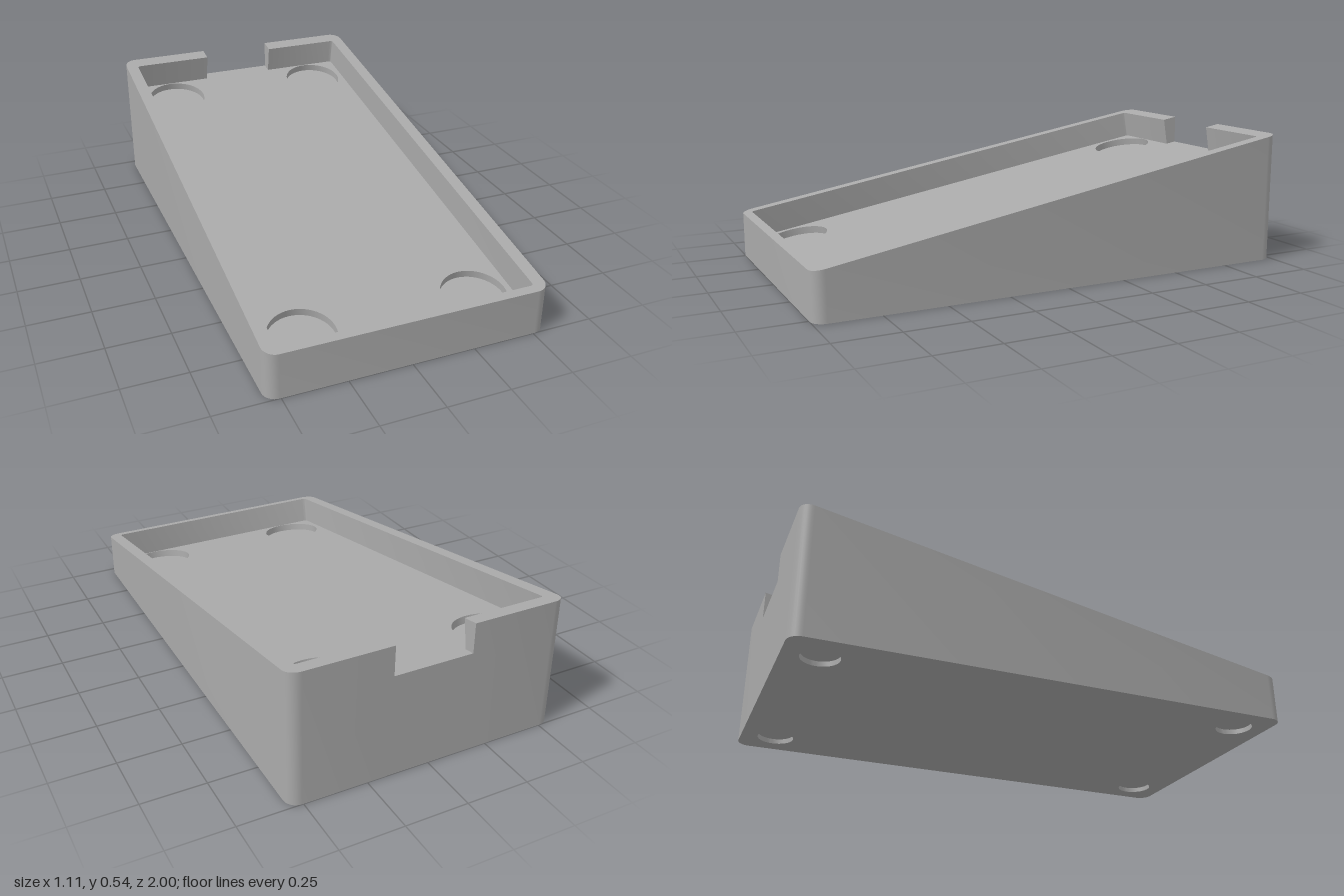
import * as THREE from 'three';
import { toCreasedNormals } from 'three/addons/utils/BufferGeometryUtils.js';

// Plan points are Vector2(x, z); heights come from two parallel sloping planes.
const SLOPE = 0.175, NOTCH = 0.16, BACK = -1;
const topY = (z) => 0.36 - SLOPE * z;
const floorY = (z) => 0.24 - SLOPE * z;
const v2 = (x, z) => new THREE.Vector2(x, z);

const atTop = (p) => [p.x, topY(p.y), p.y];
const atFloor = (p) => [p.x, floorY(p.y), p.y];
const atHeight = (y) => (p) => [p.x, y, p.y];
// Pocket walls stand square to the slope, so they lean backwards at the foot.
const lean = (p) => (p.y > BACK + 0.01 ? v2(p.x, p.y - 0.02) : p);
const atPocketFoot = (p) => atFloor(lean(p));
const atPitFoot = (p) => [p.x, floorY(p.y) - 0.03, p.y - 0.005];

// Rounded rectangle, open at the back between the two notch edges.
function openLoop(halfX, zBack, zFront, r) {
  const pts = [v2(NOTCH, zBack)];
  const corners = [[1, zBack + r], [1, zFront - r], [-1, zFront - r], [-1, zBack + r]];
  corners.forEach(([side, cz], i) => {
    for (let k = 0; k <= 8; k++) {
      const a = (i - 1 + k / 8) * Math.PI / 2;
      pts.push(v2(side * (halfX - r) + r * Math.cos(a), cz + r * Math.sin(a)));
    }
  });
  pts.push(v2(-NOTCH, zBack));
  return pts;
}

// Closed ellipse, running so that a wall along it faces inwards.
function ring(cx, cz, rx, rz) {
  const pts = [];
  for (let k = 0; k <= 48; k++) {
    const a = -k / 48 * Math.PI * 2;
    pts.push(v2(cx + rx * Math.cos(a), cz + rz * Math.sin(a)));
  }
  return pts;
}

// Strip of quads between a lower and an upper line over one plan path.
function wall(path, lo, hi) {
  const pos = [];
  for (let i = 0; i < path.length - 1; i++) {
    const a = lo(path[i]), b = lo(path[i + 1]), c = hi(path[i + 1]), d = hi(path[i]);
    pos.push(...a, ...d, ...c, ...a, ...c, ...b);
  }
  const g = new THREE.BufferGeometry();
  g.setAttribute('position', new THREE.Float32BufferAttribute(pos, 3));
  return toCreasedNormals(g, 0.6);
}

// Flat face laid on a plane, facing up or down.
function face(outline, place, up, holes = []) {
  const shape = new THREE.Shape(outline);
  for (const h of holes) shape.holes.push(new THREE.Path(h));
  const g = new THREE.ShapeGeometry(shape);
  const pos = g.attributes.position;
  for (let i = 0; i < pos.count; i++) pos.setXYZ(i, ...place(v2(pos.getX(i), pos.getY(i))));
  if (up) g.index.array.reverse();
  g.computeVertexNormals();
  return g;
}

export function createModel() {
  const model = new THREE.Group();
  model.name = 'slopedTray';
  const grey = new THREE.MeshStandardMaterial({ color: 0xaaaaaa });
  grey.name = 'plainGrey';
  const add = (name, geometry) => {
    const mesh = new THREE.Mesh(geometry, grey);
    mesh.name = name;
    model.add(mesh);
  };

  const outer = openLoop(0.555, BACK, 1, 0.05);
  const inner = openLoop(0.503, -0.935, 0.965, 0.012);
  const innerBack = [...inner].reverse();
  const backEdge = [outer[outer.length - 1], outer[0]];

  // Round pits in the tray floor and under the base
  const pits = [], feet = [];
  for (const side of [1, -1]) {
    pits.push(ring(side * 0.35, 0.813, 0.13, 0.128), ring(side * 0.35, -0.823, 0.13, 0.128));
    feet.push(ring(side * 0.415, 0.86, 0.073, 0.073), ring(side * 0.415, -0.86, 0.073, 0.073));
  }

  // Outside of the wedge, lower under the cable notch
  add('outerWall', wall(outer, atHeight(0), atTop));
  add('notchBackWall', wall(backEdge, atHeight(0), atFloor));
  add('underside', face(outer, atHeight(0), false, feet));

  // Rim, pocket walls with notch cheeks, and tray floor
  add('rim', face([...outer, ...innerBack], atTop, true));
  add('pocketWall', wall([backEdge[0], ...innerBack, backEdge[1]], atPocketFoot, atTop));
  add('trayFloor', face([...inner.map(lean), ...backEdge], atFloor, true, pits));

  for (const p of pits) {
    add('floorPitWall', wall(p, atPitFoot, atFloor));
    add('floorPitBase', face(p, atPitFoot, true));
  }
  for (const p of feet) {
    add('footRecessWall', wall(p, atHeight(0), atHeight(0.02)));
    add('footRecessBase', face(p, atHeight(0.02), false));
  }
  return model;
}
